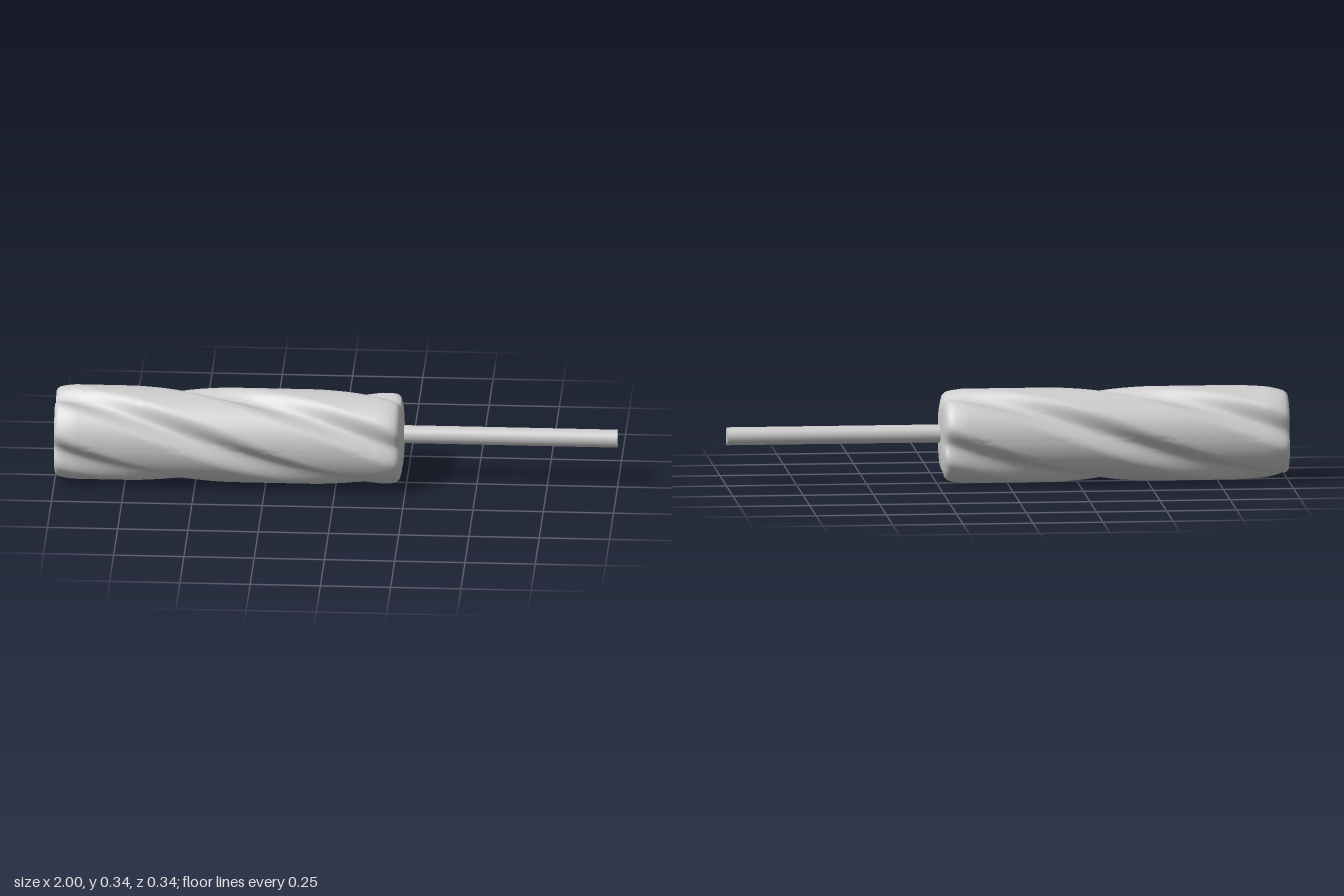
import * as THREE from 'three';
import { toCreasedNormals } from 'three/addons/utils/BufferGeometryUtils.js';

const SEGMENTS = 96;
const AXIS_Y = 0.168;
const TWIST = 2.4; // radians per unit of length
const GROOVE = 0.46; // half-width of a flute, radians

// Four broad lobes separated by four rounded flutes
function lobeRadius(angle) {
  const quarter = Math.PI / 2;
  const a = angle - quarter * Math.round(angle / quarter);
  if (Math.abs(a) >= GROOVE) return 0.168;
  return 0.168 - 0.018 * (1 + Math.cos((Math.PI * a) / GROOVE));
}

// Twisted body swept along x; each station is [x, scale of the section]
function twistedBody() {
  const stations = [[-1, 0], [-1, 0.5], [-0.998, 0.87], [-0.992, 0.92], [-0.982, 0.955], [-0.96, 0.98]];
  for (let i = 0; i <= 56; i++) stations.push([-0.93 + (1.09 * i) / 56, 1]);
  stations.push([0.19, 0.985], [0.21, 0.965], [0.22, 0.935], [0.228, 0.88], [0.235, 0.72], [0.24, 0.4], [0.242, 0]);

  const positions = [];
  const index = [];
  const row = SEGMENTS + 1;
  stations.forEach(([x, scale], i) => {
    const turn = TWIST * (x - 0.22) - 0.1;
    for (let j = 0; j <= SEGMENTS; j++) {
      const a = (2 * Math.PI * j) / SEGMENTS;
      const r = lobeRadius(a) * scale;
      positions.push(x, r * Math.cos(a + turn), r * Math.sin(a + turn));
      if (i === stations.length - 1 || j === SEGMENTS) continue;
      const p = i * row + j;
      const q = p + row;
      // Skip the collapsed triangles at the two end centres
      if (scale > 0) index.push(p, p + 1, q);
      if (stations[i + 1][1] > 0) index.push(p + 1, q + 1, q);
    }
  });
  const geometry = new THREE.BufferGeometry();
  geometry.setAttribute('position', new THREE.Float32BufferAttribute(positions, 3));
  geometry.setIndex(index);
  return toCreasedNormals(geometry, 0.6);
}

export function createModel() {
  const group = new THREE.Group();
  const material = new THREE.MeshStandardMaterial({ color: 0xcccccc });

  const body = new THREE.Mesh(twistedBody(), material);
  body.name = 'twistedBody';
  body.position.y = AXIS_Y;
  group.add(body);

  // Thin straight rod, set slightly off the body's axis
  const rod = new THREE.Mesh(new THREE.CylinderGeometry(0.032, 0.032, 0.8, 32), material);
  rod.name = 'rod';
  rod.rotation.z = -Math.PI / 2;
  rod.position.set(0.6, 0.18, -0.012);
  group.add(rod);

  return group;
}
